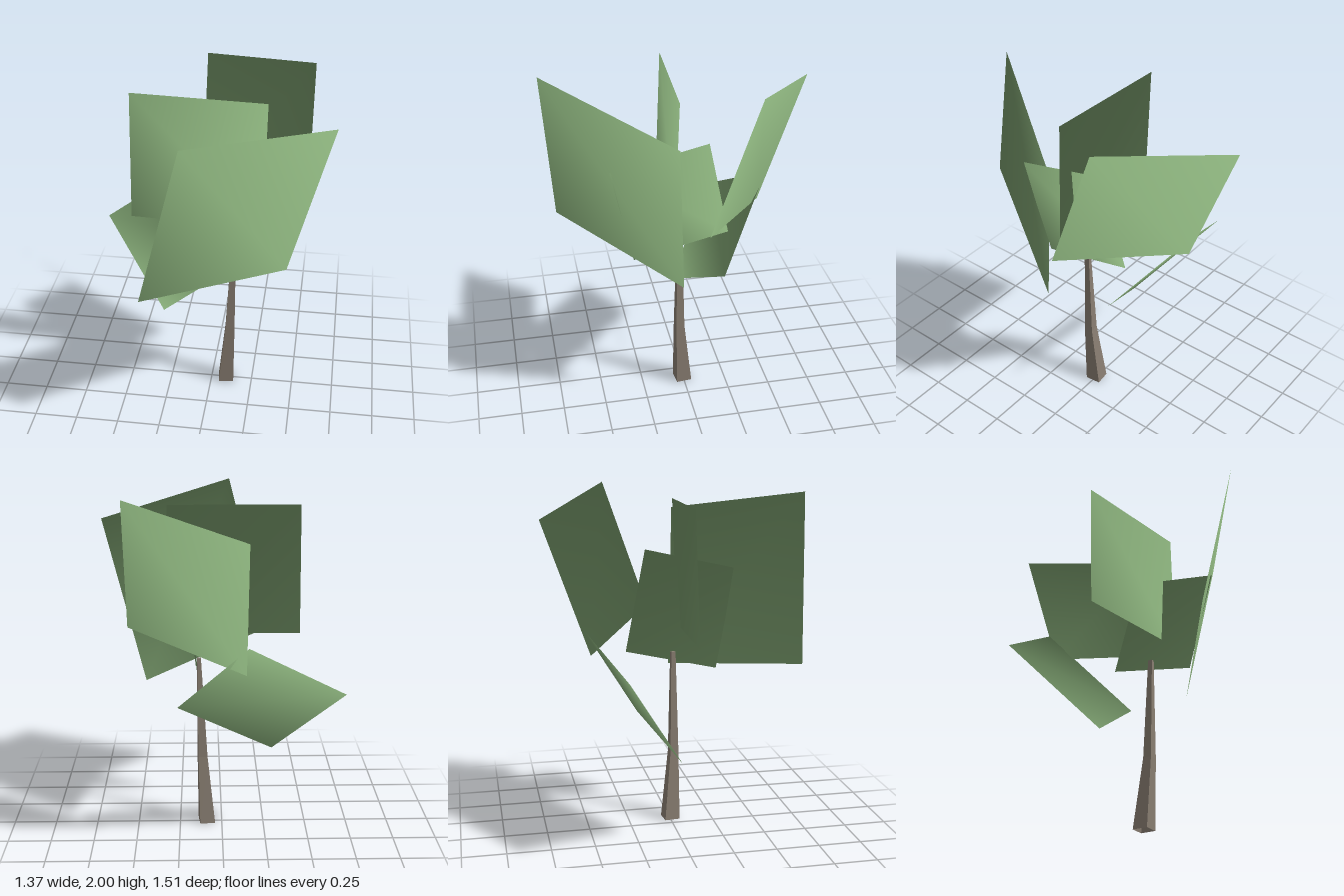
import * as THREE from 'three';

const leafGreen = new THREE.MeshStandardMaterial({ name: 'leafGreen', color: 0x84a976, side: THREE.DoubleSide });
const barkBrown = new THREE.MeshStandardMaterial({ name: 'barkBrown', color: 0x887d71, side: THREE.DoubleSide });

const crownCentre = new THREE.Vector3(0.12, 0.77, 0);

// Flat foliage card from three corners (the fourth completes the parallelogram),
// with normals fanned out from the base of the crown for soft shading.
function foliageCard(name, corners) {
  const [a, b, c] = corners.map((p) => new THREE.Vector3(...p));
  const points = [a, b, c, a.clone().add(c).sub(b)];
  const geometry = new THREE.BufferGeometry().setFromPoints(points);
  const normals = points.flatMap((p) => p.clone().sub(crownCentre).normalize().toArray());
  geometry.setAttribute('normal', new THREE.Float32BufferAttribute(normals, 3));
  geometry.setIndex([0, 1, 2, 0, 2, 3]);
  const mesh = new THREE.Mesh(geometry, leafGreen);
  mesh.name = name;
  return mesh;
}

// Four-sided tapering trunk, open at the base, lofted through its cross-sections.
function trunk() {
  const rings = [
    // y, centre x, centre z, half width, half depth
    [0.005, 0.09, 0.005, 0.045, 0.045],
    [0.42, 0.114, 0.028, 0.027, 0.025],
    [1.03, 0.132, 0.03, 0.011, 0.013],
  ];
  const cos = Math.cos(0.11);
  const sin = Math.sin(0.11);
  const corners = [[-1, -1], [-1, 1], [1, 1], [1, -1]];
  const point = ([y, x, z, w, d], i) => {
    const [u, v] = corners[i % 4];
    return [x + w * (u * cos + v * sin), y, z + d * (v * cos - u * sin)];
  };
  const positions = [];
  const quad = (a, b, c, d) => positions.push(...a, ...b, ...c, ...a, ...c, ...d);
  for (let r = 0; r < rings.length - 1; r++) {
    for (let i = 0; i < 4; i++) {
      quad(point(rings[r], i), point(rings[r], i + 1), point(rings[r + 1], i + 1), point(rings[r + 1], i));
    }
  }
  const top = rings[rings.length - 1];
  quad(point(top, 0), point(top, 1), point(top, 2), point(top, 3));
  const geometry = new THREE.BufferGeometry();
  geometry.setAttribute('position', new THREE.Float32BufferAttribute(positions, 3));
  geometry.computeVertexNormals();
  const mesh = new THREE.Mesh(geometry, barkBrown);
  mesh.name = 'trunk';
  return mesh;
}

export function createModel() {
  const tree = new THREE.Group();
  tree.name = 'tree';
  tree.add(trunk());

  // Foliage cards, corners running counter-clockwise seen from outside the crown
  const foliage = new THREE.Group();
  foliage.name = 'foliage';
  foliage.add(
    foliageCard('frontFoliage', [[-0.06, 1.97, 0.755], [-0.3, 1.027, 0.685], [0.44, 0.885, 0.065]]),
    foliageCard('backFoliage', [[0.535, 2, -0.32], [0.535, 1.24, -0.055], [-0.125, 1.09, -0.49]]),
    foliageCard('lowerFoliage', [[-0.685, 0.925, -0.33], [-0.135, 1.255, -0.538], [0.255, 0.81, -0.21]]),
    foliageCard('middleFoliage', [[-0.445, 1.92, 0.03], [-0.455, 1.17, 0.058], [0.297, 1.165, 0.09]]),
    foliageCard('sideFoliage', [[0.21, 1.505, 0.425], [0.145, 0.915, 0.295], [0.145, 1.04, -0.25]]),
  );
  tree.add(foliage);
  return tree;
}
